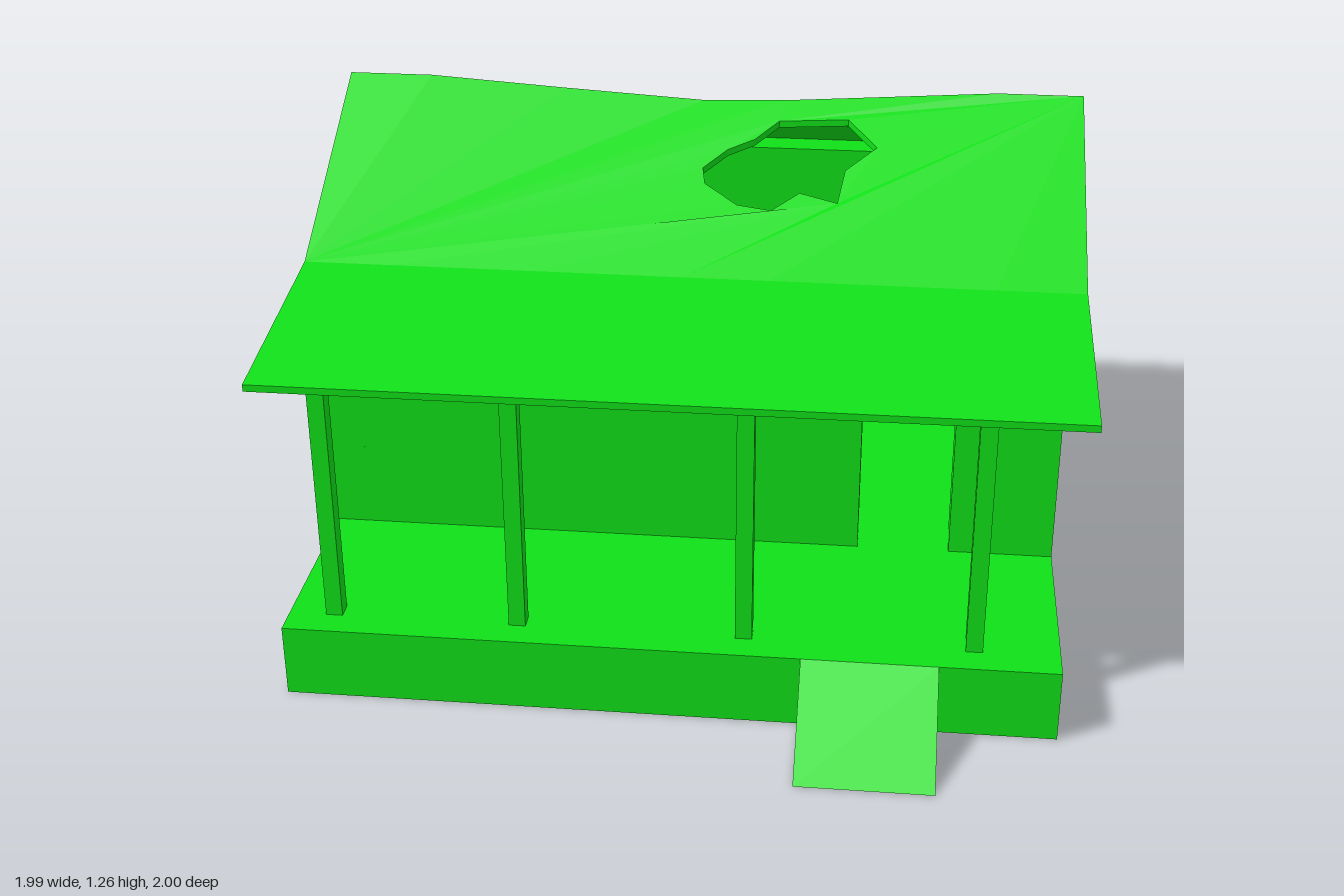
import * as THREE from 'three';

const material = new THREE.MeshStandardMaterial({ color: 0x10e018 });
const HALF = 0.96;      // half width of the house
const FLOOR = 0.19;     // height of the porch and room floor
const WALL = 0.09;      // wall thickness
const ROOF = 0.018;     // roof sheet thickness
const RIDGE_Z = -0.375, BREAK_Z = 0.19, FRONT_Z = 0.745, BACK_Z = -0.995;

// How far the ridge sinks at each x
const SAG = [[-0.995, 0], [-0.77, 0], [-0.4, 0.024], [-0.02, 0.046], [0.2, 0.039], [0.77, 0], [0.995, 0]];

function sagAt(x) {
  for (let i = 1; i < SAG.length; i++) {
    const [x0, s0] = SAG[i - 1], [x1, s1] = SAG[i];
    if (x <= x1) return s0 + (s1 - s0) * (x - x0) / (x1 - x0);
  }
  return 0;
}

// Top surface of the roof
function roofY(x, z) {
  const ridge = 1.265 - sagAt(x);
  const lerp = THREE.MathUtils.lerp;
  if (z > BREAK_Z) return lerp(0.94, 0.863, (z - BREAK_Z) / (FRONT_Z - BREAK_Z));
  if (z > RIDGE_Z) return lerp(ridge, 0.94, (z - RIDGE_Z) / (BREAK_Z - RIDGE_Z));
  return lerp(ridge, 0.905, (z - RIDGE_Z) / (BACK_Z - RIDGE_Z));
}

const toShape = points => new THREE.Shape(points.map(p => new THREE.Vector2(...p)));

const extrude = (shape, depth) => new THREE.ExtrudeGeometry(shape, { depth, bevelEnabled: false });

function add(group, name, geometry, x = 0, y = 0, z = 0) {
  const mesh = new THREE.Mesh(geometry, material);
  mesh.name = name;
  mesh.position.set(x, y, z);
  group.add(mesh);
  return mesh;
}

// Box given by its limits
function addBox(group, name, x0, x1, y0, y1, z0, z1) {
  return add(group, name, new THREE.BoxGeometry(x1 - x0, y1 - y0, z1 - z0),
    (x0 + x1) / 2, (y0 + y1) / 2, (z0 + z1) / 2);
}

// Side profile of [z, y] points, running from x0 to x1
function addProfile(group, name, points, x0, x1) {
  return add(group, name, extrude(toShape(points), x1 - x0).rotateY(-Math.PI / 2), x1);
}

// Roof sheet between two z lines, draped over the roof surface
function roofPanel(z0, z1, hole) {
  const xs = SAG.map(s => s[0]);
  const shape = toShape([
    ...xs.map(x => [x, -z1]),
    ...xs.slice().reverse().map(x => [x, -z0]),
  ]);
  if (hole) shape.holes.push(new THREE.Path(hole.map(([x, z]) => new THREE.Vector2(x, -z))));
  const geometry = extrude(shape, ROOF).rotateX(-Math.PI / 2);
  const p = geometry.attributes.position;
  for (let i = 0; i < p.count; i++) {
    p.setY(i, p.getY(i) - ROOF + roofY(p.getX(i), p.getZ(i)));
  }
  geometry.computeVertexNormals();
  return geometry;
}

export function createModel() {
  const house = new THREE.Group();
  house.name = 'house';

  // Foundation with porch deck, and the entrance ramp
  addBox(house, 'foundation', -HALF, HALF, 0, FLOOR, -HALF, 0.75);
  addProfile(house, 'ramp', [[0.75, 0], [1, 0], [0.75, FLOOR]], 0.33, 0.665);

  // Walls around the hollow room
  const inner = HALF - WALL;
  const frontWall = toShape([
    [-inner, FLOOR], [0.45, FLOOR], [0.45, 0.68], [0.69, 0.68], [0.69, FLOOR],
    [inner, FLOOR], [inner, 0.918], [-inner, 0.918],
  ]);
  add(house, 'frontWall', extrude(frontWall, WALL), 0, 0, 0.21 - WALL);
  addBox(house, 'backWall', -inner, inner, FLOOR, roofY(0.9, -HALF) - ROOF, -HALF, -HALF + WALL);

  const under = z => [z, roofY(HALF, z) - ROOF];
  const gable = [[-HALF, FLOOR], [0.21, FLOOR], under(0.21), under(BREAK_Z), under(RIDGE_Z), under(-HALF)];
  addProfile(house, 'leftGable', gable, inner, HALF);
  addProfile(house, 'rightGable', gable, -HALF, -inner);

  // Porch posts
  for (const x of [-0.845, -0.38, 0.185, 0.75]) {
    addBox(house, 'porchPost', x - 0.021, x + 0.021, FLOOR, 0.86, 0.634, 0.677);
  }

  // Sagging roof with a ragged hole in the front slope
  const hole = [
    [0, -0.15], [0.06, -0.21], [0.13, -0.245], [0.19, -0.305], [0.375, -0.305], [0.455, -0.215],
    [0.375, -0.145], [0.36, -0.045], [0.26, -0.075], [0.19, -0.02], [0.1, -0.035], [0.01, -0.1],
  ];
  const roof = new THREE.Group();
  roof.name = 'roof';
  add(roof, 'backSlope', roofPanel(BACK_Z, RIDGE_Z));
  add(roof, 'frontSlope', roofPanel(RIDGE_Z, BREAK_Z, hole));
  add(roof, 'porchRoof', roofPanel(BREAK_Z, FRONT_Z));
  house.add(roof);

  return house;
}
